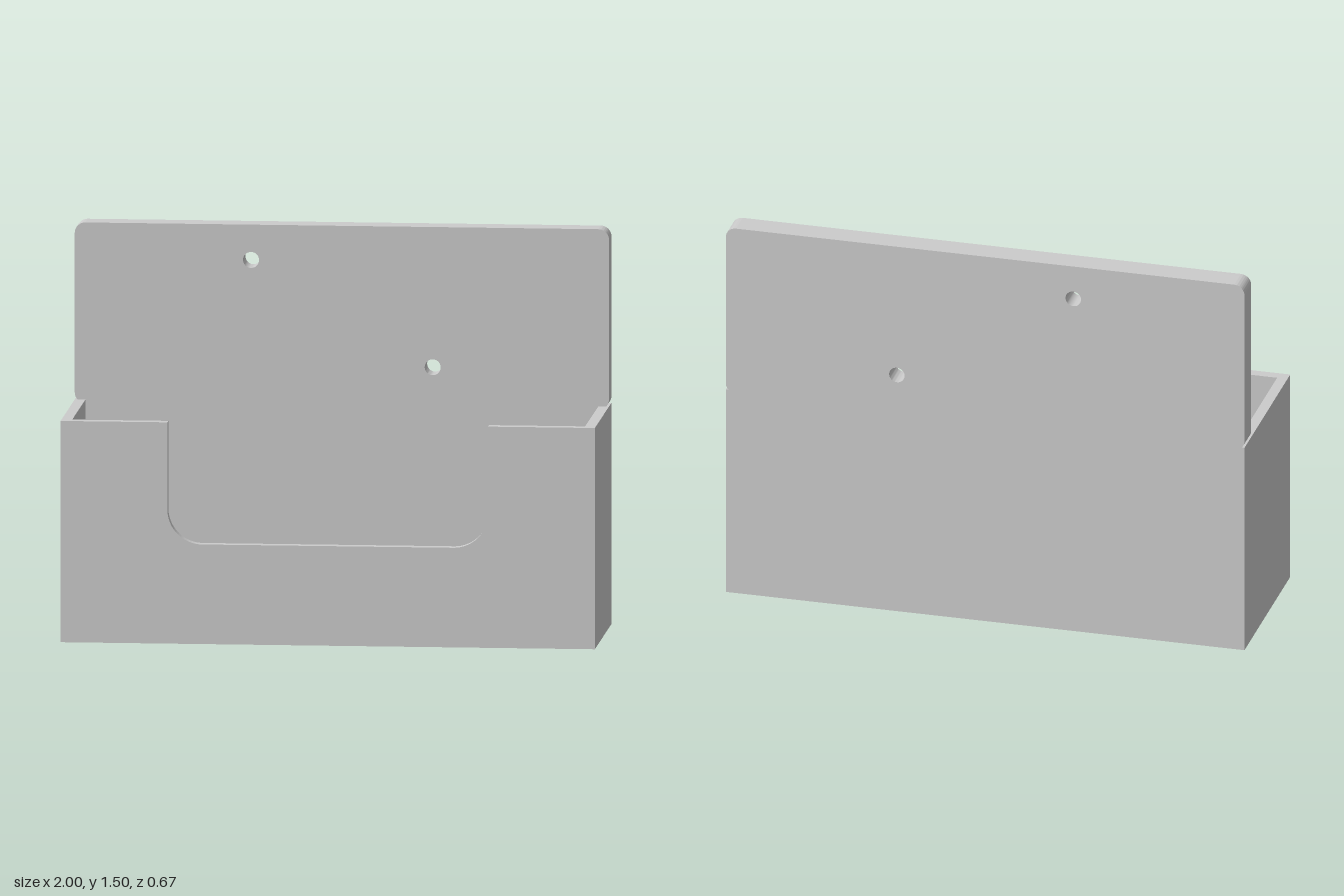
import * as THREE from 'three';
import { toCreasedNormals } from 'three/addons/utils/BufferGeometryUtils.js';

const W = 1, D = 0.333, RIM = 0.833, TOP = 1.5; // half width, half depth, rim and top heights
const WALL = 0.04, BACK = 0.098;                // thin wall and back plate thickness

export function createModel() {
  const group = new THREE.Group();
  const material = new THREE.MeshStandardMaterial({ color: 0xcccccc });

  const add = (name, geometry, x = 0, y = 0, z = 0) => {
    const mesh = new THREE.Mesh(geometry, material);
    mesh.name = name;
    mesh.position.set(x, y, z);
    group.add(mesh);
  };
  const extrude = (shape, depth) => toCreasedNormals(
    new THREE.ExtrudeGeometry(shape, { depth, bevelEnabled: false, curveSegments: 16 }), 0.5);

  // Back plate: rounded upper panel, pinched slightly where it meets the rim
  const r = 0.04, cy = 0.86, cx = W - r;
  const dip = Math.asin((cy - RIM) / r);
  const pinch = cx + r * Math.cos(dip);
  const back = new THREE.Shape();
  back.moveTo(-W, 0);
  back.lineTo(W, 0);
  back.lineTo(W, RIM);
  back.lineTo(pinch, RIM);
  back.absarc(cx, cy, r, -dip, 0, false);
  back.absarc(cx, TOP - r, r, 0, Math.PI / 2, false);
  back.absarc(-cx, TOP - r, r, Math.PI / 2, Math.PI, false);
  back.absarc(-cx, cy, r, Math.PI, Math.PI + dip, false);
  back.lineTo(-W, RIM);
  back.closePath();

  // Two screw holes
  for (const [x, y] of [[-0.34, 1.367], [0.34, 0.972]]) {
    const hole = new THREE.Path();
    hole.absarc(x, y, 0.03, 0, Math.PI * 2, true);
    back.holes.push(hole);
  }
  add('backPlate', extrude(back, BACK), 0, 0, -D);

  // Front panel with a round-cornered access cutout
  const cut = 0.6, low = 0.375, cr = 0.13;
  const front = new THREE.Shape();
  front.moveTo(-W, 0);
  front.lineTo(W, 0);
  front.lineTo(W, RIM);
  front.lineTo(cut, RIM);
  front.absarc(cut - cr, low + cr, cr, 0, -Math.PI / 2, true);
  front.absarc(-cut + cr, low + cr, cr, -Math.PI / 2, -Math.PI, true);
  front.lineTo(-cut, RIM);
  front.lineTo(-W, RIM);
  front.closePath();
  add('frontPanel', extrude(front, WALL), 0, 0, D - WALL);

  // Side walls and floor fill the gap between front and back
  const span = 2 * D - WALL - BACK, midZ = (BACK - WALL) / 2;
  for (const [name, s] of [['leftWall', 1], ['rightWall', -1]]) {
    add(name, new THREE.BoxGeometry(WALL, RIM, span), s * (W - WALL / 2), RIM / 2, midZ);
  }
  add('floor', new THREE.BoxGeometry(2 * (W - WALL), WALL, span), 0, WALL / 2, midZ);

  return group;
}
